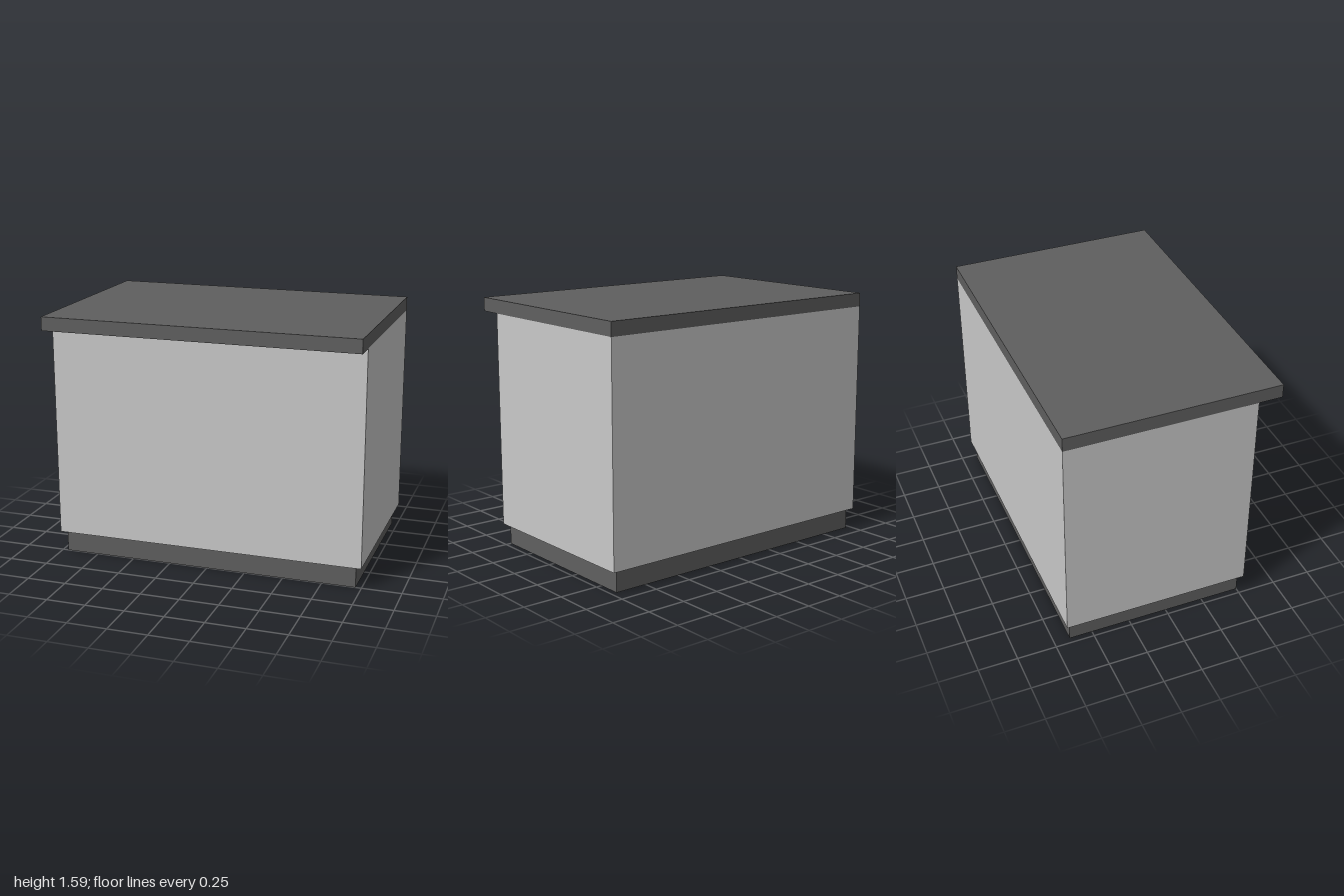
import * as THREE from 'three';

const worktopGrey = new THREE.MeshStandardMaterial({ name: 'darkGrey', color: 0x5f5f5f });
const cabinetGrey = new THREE.MeshStandardMaterial({ name: 'lightGrey', color: 0xc9c9c9 });

// Box given by its half width and its y and z ranges
function block(name, material, halfWidth, [y0, y1], [z0, z1]) {
  const mesh = new THREE.Mesh(new THREE.BoxGeometry(halfWidth * 2, y1 - y0, z1 - z0), material);
  mesh.name = name;
  mesh.position.set(0, (y0 + y1) / 2, (z0 + z1) / 2);
  return mesh;
}

export function createModel() {
  const model = new THREE.Group();
  model.name = 'counterCabinet';
  model.add(
    // Recessed plinth
    block('plinth', worktopGrey, 0.963, [0, 0.135], [-0.648, 0.5]),
    // Cabinet body, flush with the worktop at the back and sides
    block('cabinetBody', cabinetGrey, 1, [0.135, 1.503], [-0.675, 0.525]),
    // Worktop overhanging the front
    block('worktop', worktopGrey, 1, [1.503, 1.59], [-0.675, 0.675]),
  );
  return model;
}
